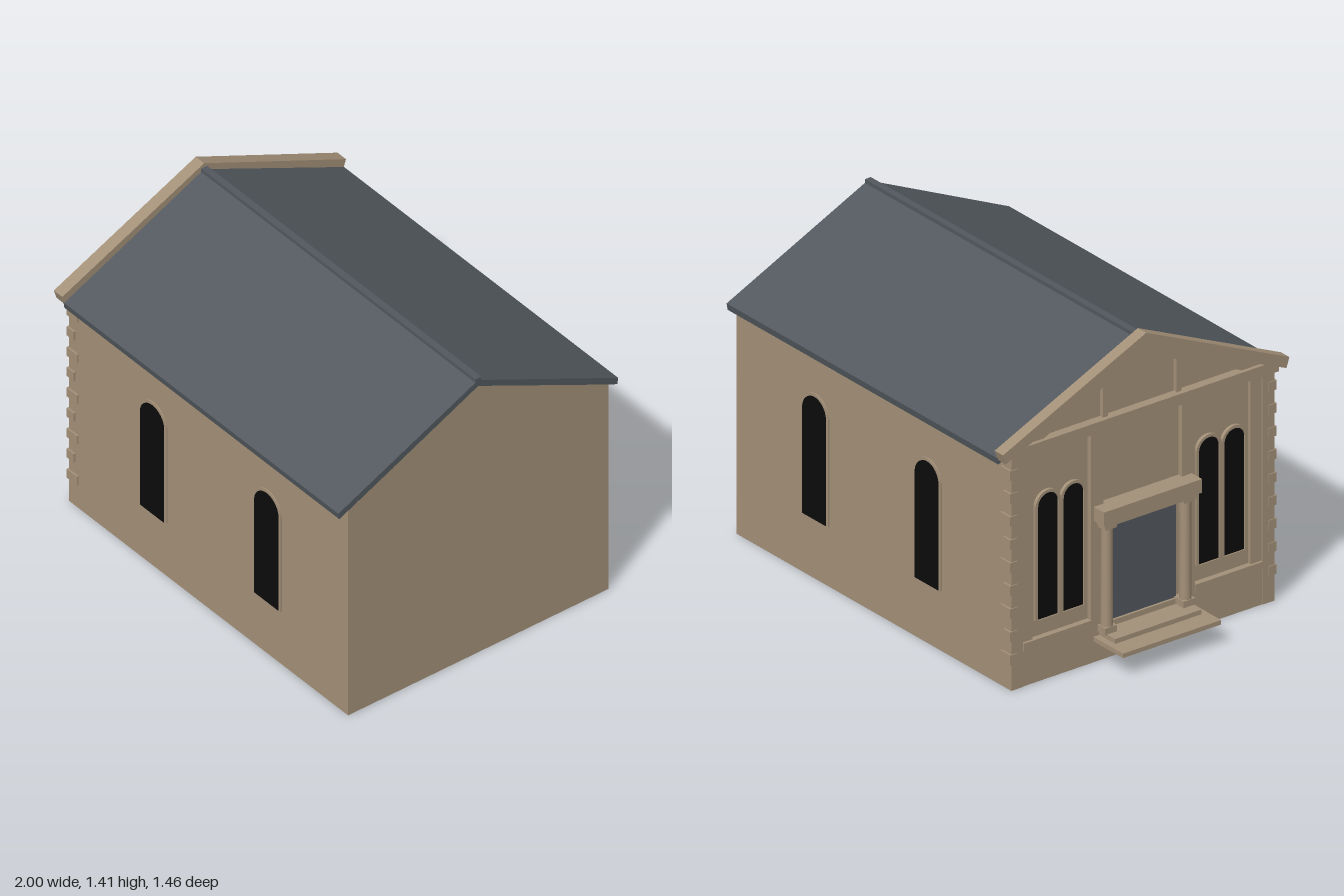
import * as THREE from 'three';

export function createModel() {
  const root = new THREE.Group();
  const stone = new THREE.MeshStandardMaterial({ color: 0xa39078 });
  stone.name = 'sandstone';
  const slate = new THREE.MeshStandardMaterial({ color: 0x52585e });
  slate.name = 'slate';
  const black = new THREE.MeshStandardMaterial({ color: 0x0b0b0b });
  black.name = 'darkGlass';

  const add = (name, geo, mat) => {
    const m = new THREE.Mesh(geo, mat);
    m.name = name;
    root.add(m);
    return m;
  };
  // Box given by its extents
  const box = (name, mat, x0, x1, y0, y1, z0, z1) => {
    const g = new THREE.BoxGeometry(x1 - x0, y1 - y0, z1 - z0);
    g.translate((x0 + x1) / 2, (y0 + y1) / 2, (z0 + z1) / 2);
    return add(name, g, mat);
  };
  const polygon = (pts) => new THREE.Shape(pts.map((p) => new THREE.Vector2(p[0], p[1])));
  const extrude = (shape, depth) =>
    new THREE.ExtrudeGeometry(shape, { depth, bevelEnabled: false, curveSegments: 10 });
  // Profile in (z, y), swept along x from x0 to x1
  const sweep = (name, mat, shape, x0, x1) =>
    add(name, extrude(shape, x1 - x0).rotateY(-Math.PI / 2).translate(x1, 0, 0), mat);
  // Symmetric roof band: ridge top, eave top, eave bottom, ridge bottom
  const chevron = (rt, ez, et, bz, eb, rb) =>
    polygon([[0, rt], [-ez, et], [-bz, eb], [0, rb], [bz, eb], [ez, et]]);
  // Round-headed opening
  const arch = (cx, half, y0, top, Type = THREE.Shape) => {
    const s = new Type();
    s.moveTo(cx - half, y0);
    s.lineTo(cx + half, y0);
    s.lineTo(cx + half, top - half);
    s.absarc(cx, top - half, half, 0, Math.PI, false);
    s.lineTo(cx - half, y0);
    return s;
  };
  const archFrame = (cx, half, border, y0, top) => {
    const s = arch(cx, half + border, y0, top + border);
    s.holes.push(arch(cx, half, y0, top, THREE.Path));
    return s;
  };

  // Main hall with gabled ends
  sweep('hall', stone,
    polygon([[-0.67, 0], [0.67, 0], [0.67, 1.04], [0, 1.355], [-0.67, 1.04]]), -0.785, 1);

  // Roof, ridge and front gable coping
  sweep('roof', slate, chevron(1.385, 0.72, 1.05, 0.715, 1.02, 1.35), -0.78, 1);
  box('ridge', slate, -0.78, 1, 1.375, 1.395, -0.015, 0.015);
  sweep('gableCoping', stone, chevron(1.415, 0.73, 1.085, 0.715, 1.04, 1.35), -0.83, -0.775);

  for (const s of [-1, 1]) {
    const zBox = (name, mat, x0, x1, y0, y1, a, b) =>
      box(name, mat, x0, x1, y0, y1, Math.min(s * a, s * b), Math.max(s * a, s * b));

    // Arched side windows
    for (const cx of [-0.26, 0.48]) {
      const place = (g, d) => g.translate(0, 0, s > 0 ? 0.67 : -0.67 - d);
      add('sideWindow', place(extrude(arch(cx, 0.077, 0.27, 0.82), 0.009), 0.009), black);
      add('sideWindowFrame',
        place(extrude(archFrame(cx, 0.077, 0.014, 0.27, 0.82), 0.006), 0.006), stone);
    }

    // Corner quoins, alternately long and short
    for (let i = 0; i < 9; i++) {
      const y = 0.12 + i * 0.1035;
      zBox('quoin', stone, -0.812, i % 2 ? -0.765 : -0.745, y, y + 0.043, 0.64, 0.679);
    }

    // Facade pilasters
    zBox('cornerPilaster', stone, -0.808, -0.78, 0, 1.04, 0.61, 0.67);
    zBox('panelPilaster', stone, -0.8, -0.78, 0.16, 1.04, 0.555, 0.61);
    zBox('innerPilaster', stone, -0.808, -0.78, 0.16, 1.04, 0.2, 0.265);
    zBox('sillRail', stone, -0.812, -0.78, 0.16, 0.195, 0.265, 0.61);

    // Paired arched facade windows
    for (const c of [0.345, 0.475]) {
      sweep('facadeWindow', black, arch(s * c, 0.052, 0.27, 0.83), -0.794, -0.785);
      sweep('facadeWindowFrame', stone, archFrame(s * c, 0.052, 0.013, 0.27, 0.83), -0.8, -0.785);
    }

    // Uprights in the pediment
    zBox('pedimentStrut', stone, -0.805, -0.78, 1.07, 1.275, 0.175, 0.2);

    // Porch columns with base and capital
    const shaft = new THREE.CylinderGeometry(0.024, 0.026, 0.48, 20);
    add('porchColumn', shaft.translate(-0.829, 0.38, s * 0.2), stone);
    zBox('columnBase', stone, -0.857, -0.785, 0.135, 0.165, 0.17, 0.23);
    zBox('columnCapital', stone, -0.859, -0.785, 0.605, 0.625, 0.17, 0.23);
  }

  // Facade plinth and pediment beam
  box('plinth', stone, -0.805, -0.78, 0, 0.16, -0.67, 0.67);
  box('pedimentBeam', stone, -0.826, -0.78, 1.035, 1.085, -0.68, 0.68);

  // Inner moulding of the pediment
  sweep('pedimentMoulding', stone, chevron(1.36, 0.66, 1.055, 0.57, 1.055, 1.315), -0.808, -0.78);

  // Door, lintel and steps
  box('door', slate, -0.794, -0.785, 0.135, 0.61, -0.18, 0.18);
  box('lintelMoulding', stone, -0.863, -0.785, 0.62, 0.638, -0.235, 0.235);
  box('lintel', stone, -0.875, -0.785, 0.638, 0.7, -0.25, 0.25);
  box('upperStep', stone, -0.91, -0.8, 0.115, 0.136, -0.22, 0.22);
  box('lowerStep', stone, -1, -0.8, 0.095, 0.115, -0.25, 0.25);

  return root;
}
